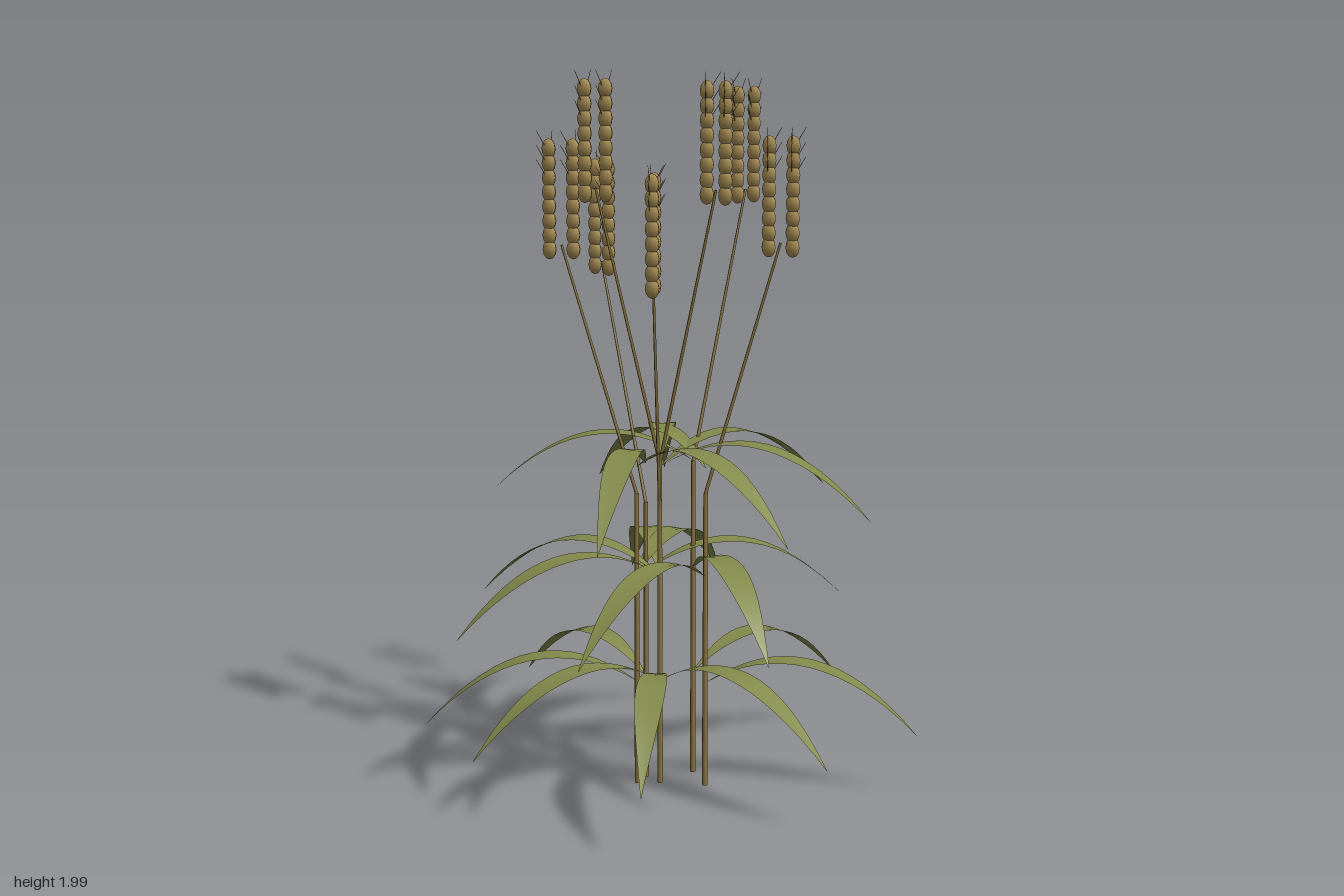
import * as THREE from 'three';

const leafGreen = new THREE.MeshStandardMaterial({ color: 0x838a4b, side: THREE.DoubleSide });
leafGreen.name = 'leaf green';
const stemStraw = new THREE.MeshStandardMaterial({ color: 0x89743f });
stemStraw.name = 'stem straw';
const grainGold = new THREE.MeshStandardMaterial({ color: 0xa68c54 });
grainGold.name = 'grain gold';

const UP = new THREE.Vector3(0, 1, 0);
const GOLDEN = THREE.MathUtils.degToRad(137.5);
const v = (x, y, z) => new THREE.Vector3(x, y, z);

// Tapered rod between two points
function rod(name, a, b, r0, r1, material, sides = 6) {
  const d = b.clone().sub(a);
  const mesh = new THREE.Mesh(new THREE.CylinderGeometry(r1, r0, d.length(), sides), material);
  mesh.position.copy(a).add(b).multiplyScalar(0.5);
  mesh.quaternion.setFromUnitVectors(UP, d.normalize());
  mesh.name = name;
  return mesh;
}

// Arching blade along +x, pointed at both ends, with a shallow channel along its middle
function bladeGeometry() {
  const n = 16, reach = 0.593, pos = [], index = [];
  for (let i = 0; i <= n; i++) {
    const t = i / n;
    const y = 0.395 * t - 0.517 * t * t;
    const half = 0.001 + 0.039 * Math.sin(Math.PI * t);
    const x = reach * t, edge = y + half * 0.08;
    pos.push(x, edge, -half, x, y, 0, x, edge, half);
    if (i === n) break;
    for (const k of [i * 3, i * 3 + 1]) index.push(k, k + 1, k + 3, k + 1, k + 4, k + 3);
  }
  const g = new THREE.BufferGeometry();
  g.setAttribute('position', new THREE.Float32BufferAttribute(pos, 3));
  g.setIndex(index);
  g.computeVertexNormals();
  return g;
}

const grainGeometry = new THREE.SphereGeometry(1, 6, 6).scale(0.024, 0.027, 0.017);

// Ear of eight stacked grains with bristles near the top
function makeEar(leanX) {
  const ear = new THREE.Group();
  ear.name = 'ear';
  for (let i = 0; i < 8; i++) {
    const y = i * 0.0385 - 0.012;
    const grain = new THREE.Mesh(grainGeometry, grainGold);
    grain.name = 'grain';
    grain.position.y = y;
    ear.add(grain);
    if (i < 5) continue;
    for (const s of [-1, 1]) {
      ear.add(rod('awn', v(0, y, s * 0.008), v(leanX * 0.022, y + 0.048, s * 0.03),
        0.0016, 0.0008, stemStraw, 4));
    }
  }
  return ear;
}

export function createModel() {
  const model = new THREE.Group();
  model.name = 'grainPlant';
  const blade = bladeGeometry();
  const heights = [1.68, 1.525, 1.66, 1.445, 1.46, 1.535, 1.685];

  heights.forEach((h, i) => {
    const stalk = new THREE.Group();
    stalk.name = 'stalk';
    const angle = i * GOLDEN;
    const dx = Math.cos(angle), dz = Math.sin(angle);
    const r = (i % 3) * 0.064;
    const x = 0.02 + dx * r, z = 0.07 + dz * r;

    // Upright lower stem and leaning upper stem
    const knee = v(x, h * 0.55, z);
    const top = v(x + dx * 0.2, h, z + dz * 0.2);
    stalk.add(rod('lowerStem', v(x, 0, z), knee, 0.008, 0.0065, stemStraw));
    stalk.add(rod('upperStem', knee, top, 0.005, 0.0035, stemStraw));

    // One leaf at each of three levels, turning as they climb
    for (let level = 0; level < 3; level++) {
      const leaf = new THREE.Mesh(blade, leafGreen);
      leaf.name = 'leaf';
      leaf.position.set(x, 0.3 + level * 0.307, z);
      leaf.rotation.y = -(angle + level * 2.0);
      stalk.add(leaf);
    }

    // Two ears side by side at the tip
    for (const s of [-1, 1]) {
      const ear = makeEar(dx);
      ear.position.set(top.x + dx * 0.032 * s, h, top.z + dz * 0.032 * s);
      stalk.add(ear);
    }
    model.add(stalk);
  });
  return model;
}
